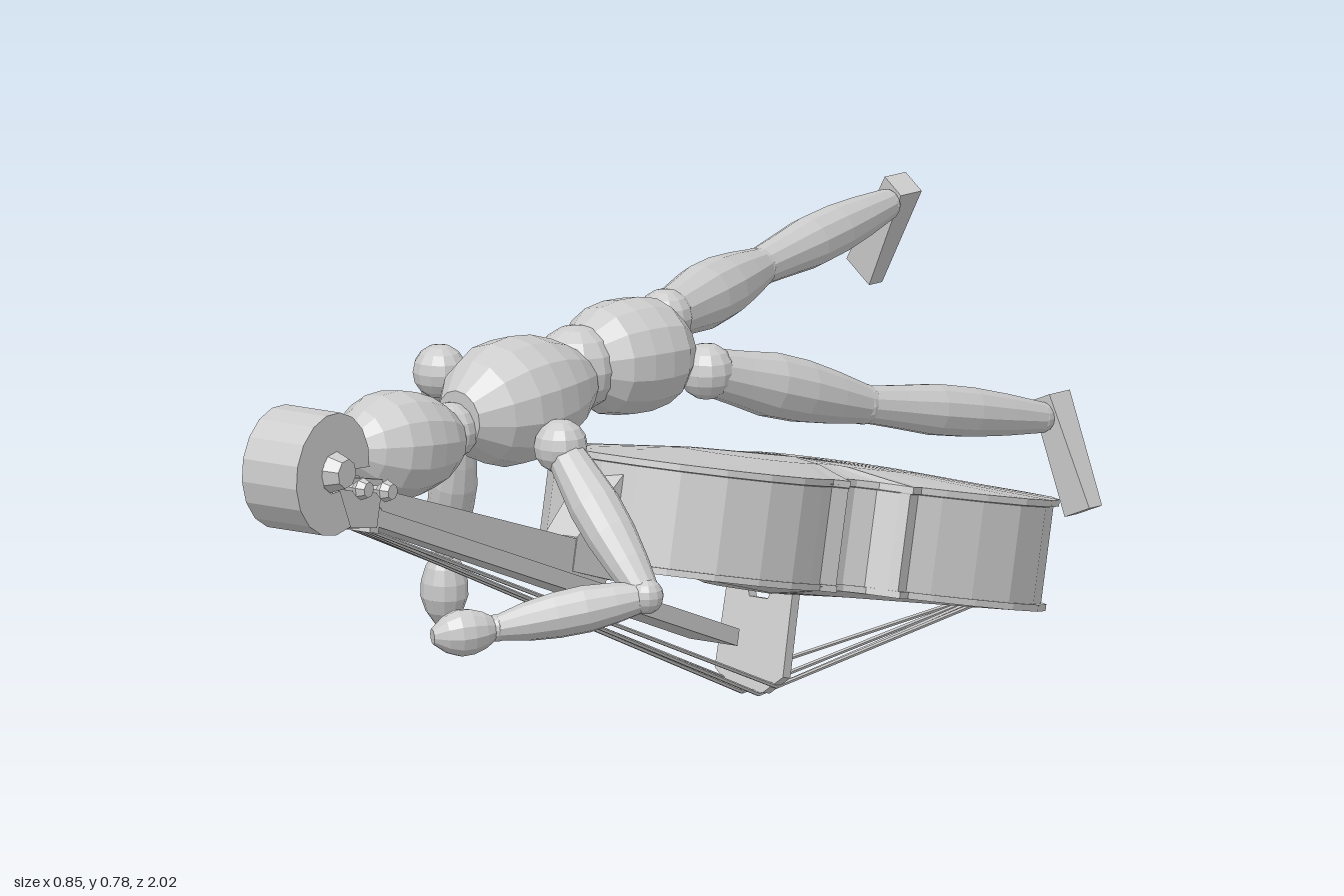
import * as THREE from 'three';
import { ParametricGeometry } from 'three/addons/geometries/ParametricGeometry.js';

const mat = new THREE.MeshStandardMaterial({ color: 0xcccccc, flatShading: true, side: THREE.DoubleSide });
const V = (p) => new THREE.Vector3(...p);

function add(parent, name, geometry) {
  const mesh = new THREE.Mesh(geometry, mat);
  mesh.name = name;
  parent.add(mesh);
  return mesh;
}

// turned part from p to q, with evenly spaced radii along its length
function spindle(parent, name, p, q, radii, sides = 12) {
  const a = V(p), d = V(q).sub(a), len = d.length();
  const pts = radii.map((r, i) => new THREE.Vector2(r, (len * i) / (radii.length - 1)));
  const geo = new THREE.LatheGeometry([new THREE.Vector2(0, 0), ...pts, new THREE.Vector2(0, len)], sides);
  const mesh = add(parent, name, geo);
  mesh.position.copy(a);
  mesh.quaternion.setFromUnitVectors(new THREE.Vector3(0, 1, 0), d.normalize());
  return mesh;
}

function ball(parent, name, p, r) {
  add(parent, name, new THREE.SphereGeometry(r, 12, 8)).position.set(...p);
}

// box along z whose centre height, width and thickness change from one end to the other
function taper(z0, z1, y0, y1, w0, w1, h0, h1) {
  const geo = new THREE.BoxGeometry(1, 1, 1), pos = geo.attributes.position, L = THREE.MathUtils.lerp;
  for (let i = 0; i < pos.count; i++) {
    const t = pos.getZ(i) + 0.5;
    pos.setXYZ(i, pos.getX(i) * L(w0, w1, t), pos.getY(i) * L(h0, h1, t) + L(y0, y1, t), L(z0, z1, t));
  }
  geo.computeVertexNormals();
  return geo;
}

const vecs = (list) => list.map(([x, y]) => new THREE.Vector2(x, y));

// half outline of the instrument body: half width, position along the axis
const half = [[0, -0.56], [0.1, -0.548], [0.19, -0.51], [0.26, -0.44], [0.303, -0.36], [0.316, -0.27],
  [0.3, -0.18], [0.268, -0.1], [0.243, -0.06], [0.255, -0.02], [0.235, -0.015], [0.195, 0.0], [0.172, 0.035], [0.17, 0.075],
  [0.185, 0.11], [0.215, 0.13], [0.233, 0.135], [0.222, 0.17], [0.24, 0.22], [0.25, 0.29], [0.238, 0.37],
  [0.2, 0.45], [0.14, 0.51], [0.07, 0.548], [0, 0.56]];
const outline = [...half, ...half.slice(1, -1).reverse().map(([x, y]) => [-x, y])];
const scaled = (k) => vecs(outline.map(([x, y]) => [x * k, y * k]));

function buildCello() {
  // local frame: x across, y out of the back, z toward the scroll
  const cello = new THREE.Group();
  cello.name = 'cello';
  const a = V([0.185, 0.24, 1]).normalize();
  const b = V([1, 0.06, 0]);
  b.addScaledVector(a, -b.dot(a)).normalize();
  cello.quaternion.setFromRotationMatrix(new THREE.Matrix4().makeBasis(b, a.clone().cross(b), a));
  cello.position.set(-0.005, 0.295, -0.44);

  // ribs
  const wall = new THREE.Shape(scaled(0.98));
  wall.holes.push(new THREE.Path(scaled(0.955)));
  const ribs = new THREE.ExtrudeGeometry(wall, { depth: 0.18, bevelEnabled: false });
  add(cello, 'ribs', ribs.rotateX(Math.PI / 2).translate(0, 0.09, 0));

  // arched back
  const rings = [[0.975, 0.084], [1, 0.086], [1, 0.098], [0.8, 0.104], [0.45, 0.116], [0, 0.12]];
  const n = outline.length;
  add(cello, 'back', new ParametricGeometry((u, v, target) => {
    const [x, z] = outline[Math.round(u * n) % n];
    const [k, y] = rings[Math.round(v * (rings.length - 1))];
    target.set(x * k, y, z * k);
  }, n, rings.length - 1));

  // belly with sound holes, arched outward around them
  const front = new THREE.Shape(scaled(1));
  const soundHole = [[0.06, 0.1], [0.075, 0.12], [0.1, 0.11], [0.112, 0.07], [0.118, 0], [0.13, -0.06], [0.142, -0.07],
    [0.14, -0.085], [0.122, -0.085], [0.108, -0.05], [0.1, 0], [0.096, 0.07], [0.085, 0.1], [0.075, 0.1], [0.07, 0.09]];
  for (const s of [1, -1]) front.holes.push(new THREE.Path(vecs(soundHole.map(([x, y]) => [x * s, y - 0.01]))));
  const belly = new THREE.ExtrudeGeometry(front, { depth: 0.012, bevelEnabled: false });
  belly.rotateX(Math.PI / 2).translate(0, -0.086, 0);
  const pos = belly.attributes.position;
  for (let i = 0; i < pos.count; i++) {
    const x = Math.abs(pos.getX(i));
    if (x < 0.15 && Math.abs(pos.getZ(i)) < 0.2) pos.setY(i, pos.getY(i) - 0.03 * (1 - x / 0.2));
  }
  add(cello, 'belly', belly);

  // bridge
  const bridge = new THREE.Shape(vecs([[-0.072, -0.09], [-0.075, -0.262], [-0.035, -0.294], [0.035, -0.294],
    [0.075, -0.262], [0.072, -0.09], [0.035, -0.09], [0.02, -0.13], [-0.02, -0.13], [-0.035, -0.09]]));
  add(cello, 'bridge', new THREE.ExtrudeGeometry(bridge, { depth: 0.022, bevelEnabled: false }).translate(0, 0, 0.025));

  // neck, heel and fingerboard
  add(cello, 'fingerboard', taper(0.16, 1.22, -0.2, -0.045, 0.105, 0.06, 0.03, 0.03));
  add(cello, 'neck', taper(0.54, 1.24, -0.1, -0.015, 0.07, 0.05, 0.075, 0.045));
  add(cello, 'heel', taper(0.53, 0.64, -0.02, -0.08, 0.09, 0.07, 0.2, 0.06));
  add(cello, 'nut', taper(1.21, 1.235, -0.05, -0.05, 0.06, 0.06, 0.045, 0.045));

  // strings over the bridge to the end button
  for (let i = 0; i < 4; i++) {
    const k = (i - 1.5) / 1.5;
    const top = [0.055 * k, -0.3 + 0.02 * k * k, 0.036];
    spindle(cello, 'string', [0.022 * k, -0.07, 1.22], top, [0.004, 0.004], 5);
    spindle(cello, 'stringTail', top, [0.018 * k, -0.112, -0.55], [0.004, 0.004], 5);
  }
  add(cello, 'tailSaddle', taper(-0.572, -0.54, -0.1, -0.1, 0.06, 0.06, 0.025, 0.03));

  // pegbox and pegs
  for (const s of [1, -1]) {
    add(cello, 'pegboxCheek', taper(1.22, 1.37, -0.02, -0.025, 0.014, 0.016, 0.085, 0.09).translate(s * 0.026, 0, 0));
  }
  add(cello, 'pegboxFloor', taper(1.22, 1.36, -0.05, -0.06, 0.05, 0.06, 0.025, 0.03));
  [1.245, 1.315].forEach((z, row) => {
    for (const s of [1, -1]) {
      const y = 0.005, zz = z + s * 0.012;
      spindle(cello, 'pegShaft', [-s * 0.03, y, zz], [s * 0.065, y, zz], [0.006, 0.008], 6);
      spindle(cello, 'pegHead', [s * 0.055, y, zz], [s * 0.085, y, zz], [0.01, 0.02, 0.014], 8);
    }
  });

  // scroll: a spiral band with a projecting eye
  const turn = (r0, r1, from, to, steps) => Array.from({ length: steps + 1 }, (_, i) => {
    const t = i / steps, r = r0 + (r1 - r0) * t, g = from + (to - from) * t;
    return new THREE.Vector2(Math.cos(g) * r, Math.sin(g) * r);
  });
  const band = new THREE.Shape(turn(0.115, 0.1, -2.2, 3.0, 14).concat(turn(0.03, 0.04, 3.0, -2.2, 8)));
  const scroll = new THREE.ExtrudeGeometry(band, { depth: 0.12, bevelEnabled: false }).translate(0, 0, -0.06);
  add(cello, 'scroll', scroll.rotateY(-Math.PI / 2).translate(0, 0.03, 1.4));
  spindle(cello, 'scrollEye', [-0.088, 0.03, 1.4], [0.088, 0.03, 1.4], [0.026, 0.042, 0.045, 0.042, 0.026], 8);
  return cello;
}

const limbShape = (r, end) => [end, r * 0.85, r, r * 0.97, r * 0.82, end * 0.85];

function buildLeg(parent, side, hip, knee, ankle, heel, toe) {
  const leg = new THREE.Group();
  leg.name = side + 'Leg';
  ball(leg, 'hip', hip, 0.05);
  spindle(leg, 'thigh', hip, knee, limbShape(0.058, 0.042));
  ball(leg, 'knee', knee, 0.036);
  spindle(leg, 'shin', knee, ankle, limbShape(0.046, 0.033));
  ball(leg, 'ankle', ankle, 0.028);
  // flat sole, with its thickness facing along the body
  const len = V(heel).distanceTo(V(toe));
  const foot = add(leg, 'foot', taper(0, len, 0, 0, 0.05, 0.07, 0.048, 0.03));
  foot.up.set(0, 0, 1);
  foot.position.set(...heel);
  foot.lookAt(V(toe));
  parent.add(leg);
}

function buildArm(parent, side, shoulder, elbow, wrist, hand) {
  const arm = new THREE.Group();
  arm.name = side + 'Arm';
  ball(arm, 'shoulder', shoulder, 0.048);
  spindle(arm, 'upperArm', shoulder, elbow, limbShape(0.046, 0.032));
  ball(arm, 'elbow', elbow, 0.032);
  spindle(arm, 'forearm', elbow, wrist, limbShape(0.042, 0.026));
  ball(arm, 'wrist', wrist, 0.024);
  spindle(arm, 'hand', wrist, hand, [0.018, 0.033, 0.041, 0.042, 0.033, 0.014]);
  parent.add(arm);
}

function buildFigure() {
  const figure = new THREE.Group();
  figure.name = 'jointedFigure';
  spindle(figure, 'head', [0.03, 0.58, 0.385], [0.048, 0.605, 0.64], [0.055, 0.08, 0.092, 0.098, 0.092, 0.068, 0.025], 14);
  ball(figure, 'neck', [0.03, 0.595, 0.37], 0.05);
  spindle(figure, 'chest', [0.035, 0.615, 0.355], [0.01, 0.635, 0.06], [0.05, 0.092, 0.111, 0.113, 0.104, 0.085, 0.055], 14);
  ball(figure, 'waist', [-0.01, 0.65, 0.04], 0.076);
  spindle(figure, 'pelvis', [-0.01, 0.655, 0.03], [-0.008, 0.65, -0.185], [0.065, 0.095, 0.103, 0.103, 0.095, 0.06], 14);
  buildLeg(figure, 'right', [-0.07, 0.69, -0.22], [-0.195, 0.705, -0.545], [-0.29, 0.742, -0.93],
    [-0.285, 0.775, -0.968], [-0.395, 0.6, -0.975]);
  buildLeg(figure, 'left', [0.05, 0.615, -0.21], [0.083, 0.51, -0.545], [0.115, 0.432, -0.93],
    [0.105, 0.465, -0.965], [0.185, 0.27, -0.97]);
  buildArm(figure, 'right', [-0.1, 0.665, 0.28], [-0.272, 0.487, 0.08], [-0.345, 0.265, 0.05], [-0.352, 0.13, 0.045]);
  buildArm(figure, 'left', [0.15, 0.565, 0.22], [0.39, 0.34, 0.235], [0.24, 0.29, 0.45], [0.19, 0.282, 0.555]);
  return figure;
}

export function createModel() {
  const model = new THREE.Group();
  model.name = 'figureOnCello';
  model.add(buildCello(), buildFigure());
  return model;
}
